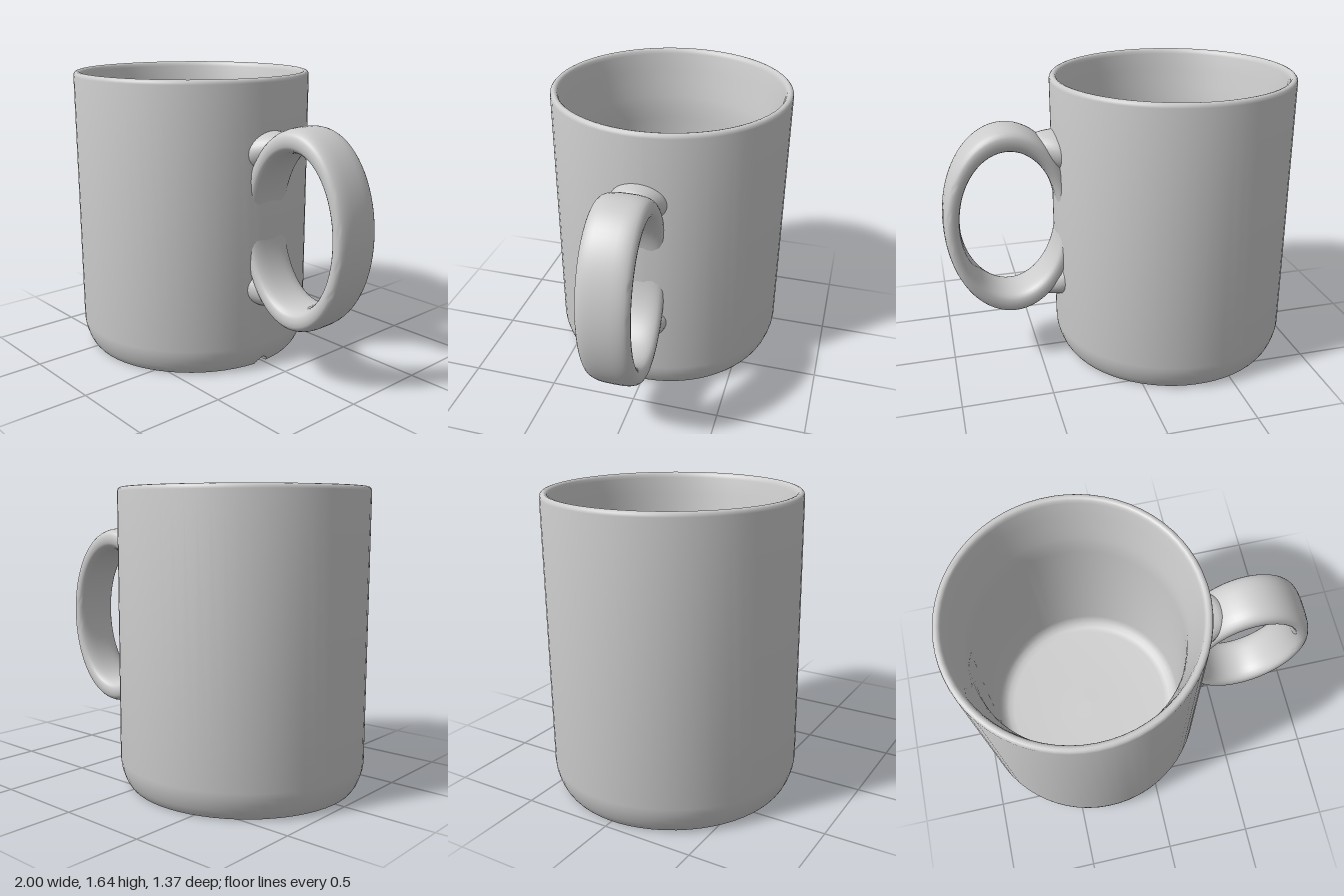
import * as THREE from 'three';
import { mergeGeometries, toCreasedNormals } from 'three/addons/utils/BufferGeometryUtils.js';

const CUP_X = -0.315;      // axis of the cup
const HANDLE = { x: 0.635, y: 0.863 };
const grey = new THREE.MeshStandardMaterial({ color: 0xcccccc });
const points = (list) => list.map(([r, y]) => new THREE.Vector2(r, y));

function named(name, geometry) {
  const mesh = new THREE.Mesh(geometry, grey);
  mesh.name = name;
  return mesh;
}

// Cup wall: recessed underside, foot ring, outer wall, rounded rim, inner wall, floor
function cupGeometry() {
  const profile = points([
    [0, 0.08], [0.54, 0.08], [0.555, 0.04], [0.57, 0],
    [0.63, 0], [0.64, 0.012], [0.65, 0.027], [0.66, 0.047], [0.672, 0.08], [0.681, 0.115], [0.685, 0.15],
    [0.685, 1.615], [0.682, 1.629], [0.674, 1.637], [0.664, 1.64], [0.653, 1.637], [0.645, 1.628],
    [0.64, 1.61], [0.622, 1.52], [0.603, 1.42], [0.588, 1.34], [0.58, 1.28], [0.577, 1.2],
    [0.577, 0.28], [0.57, 0.245], [0.552, 0.218], [0.525, 0.203], [0.49, 0.2], [0, 0.2],
  ]);
  // A finely divided arc carries the drain notch, a coarser one closes the circle
  const mid = Math.PI / 2 - 0.03, half = 0.075;
  const notched = new THREE.LatheGeometry(profile, 20, mid - half, 2 * half);
  const rest = new THREE.LatheGeometry(profile, 62, mid + half, 2 * Math.PI - 2 * half);

  // Half-round notch through the foot ring
  const p = notched.attributes.position;
  for (let i = 0; i < p.count; i++) {
    const d = p.getZ(i) - 0.02;
    if (p.getX(i) < 0.5 || p.getY(i) > 0.06 || Math.abs(d) > 0.04) continue;
    p.setY(i, Math.max(p.getY(i), Math.sqrt(0.0016 - d * d)));
  }
  return toCreasedNormals(mergeGeometries([notched, rest]), 0.6);
}

// Handle: an oval ring with a wide, softly squared cross-section
function handleGeometry() {
  const soft = (v) => Math.sign(v) * Math.abs(v) ** 0.7;
  const section = [];
  for (let i = 0; i <= 28; i++) {
    const t = -Math.PI + (i / 28) * 2 * Math.PI;
    section.push([0.32 + 0.045 * soft(Math.cos(t)), 0.14 * soft(Math.sin(t))]);
  }
  const geometry = new THREE.LatheGeometry(points(section), 72);
  geometry.rotateX(Math.PI / 2);
  geometry.scale(1, 1.5, 1);
  return toCreasedNormals(geometry, 0.9);
}

// Flared collar joining the handle to the wall, leaning toward the handle's crown
function collarGeometry() {
  const profile = points([
    [0.165, 0.30], [0.157, 0.35], [0.148, 0.375], [0.135, 0.4], [0.118, 0.43], [0.1, 0.455], [0.07, 0.47], [0, 0.475],
  ]);
  const geometry = new THREE.LatheGeometry(profile, 32);
  geometry.rotateZ(-Math.PI / 2);
  geometry.scale(1, 0.73, 1);
  const p = geometry.attributes.position;
  for (let i = 0; i < p.count; i++) p.setY(i, p.getY(i) + 0.382 + 0.3 * (p.getX(i) - 0.36));
  return toCreasedNormals(geometry, 0.8);
}

export function createModel() {
  const model = new THREE.Group();
  model.name = 'mug';

  const cup = named('cup', cupGeometry());
  cup.position.x = CUP_X;

  const handle = named('handle', handleGeometry());
  handle.position.set(HANDLE.x, HANDLE.y, 0);
  model.add(cup, handle);

  // Upper and lower collars mirror each other about the handle's middle
  const collar = collarGeometry();
  for (const [name, side] of [['upperCollar', 1], ['lowerCollar', -1]]) {
    const mesh = named(name, collar);
    mesh.position.y = HANDLE.y;
    mesh.scale.y = side;
    model.add(mesh);
  }
  return model;
}
